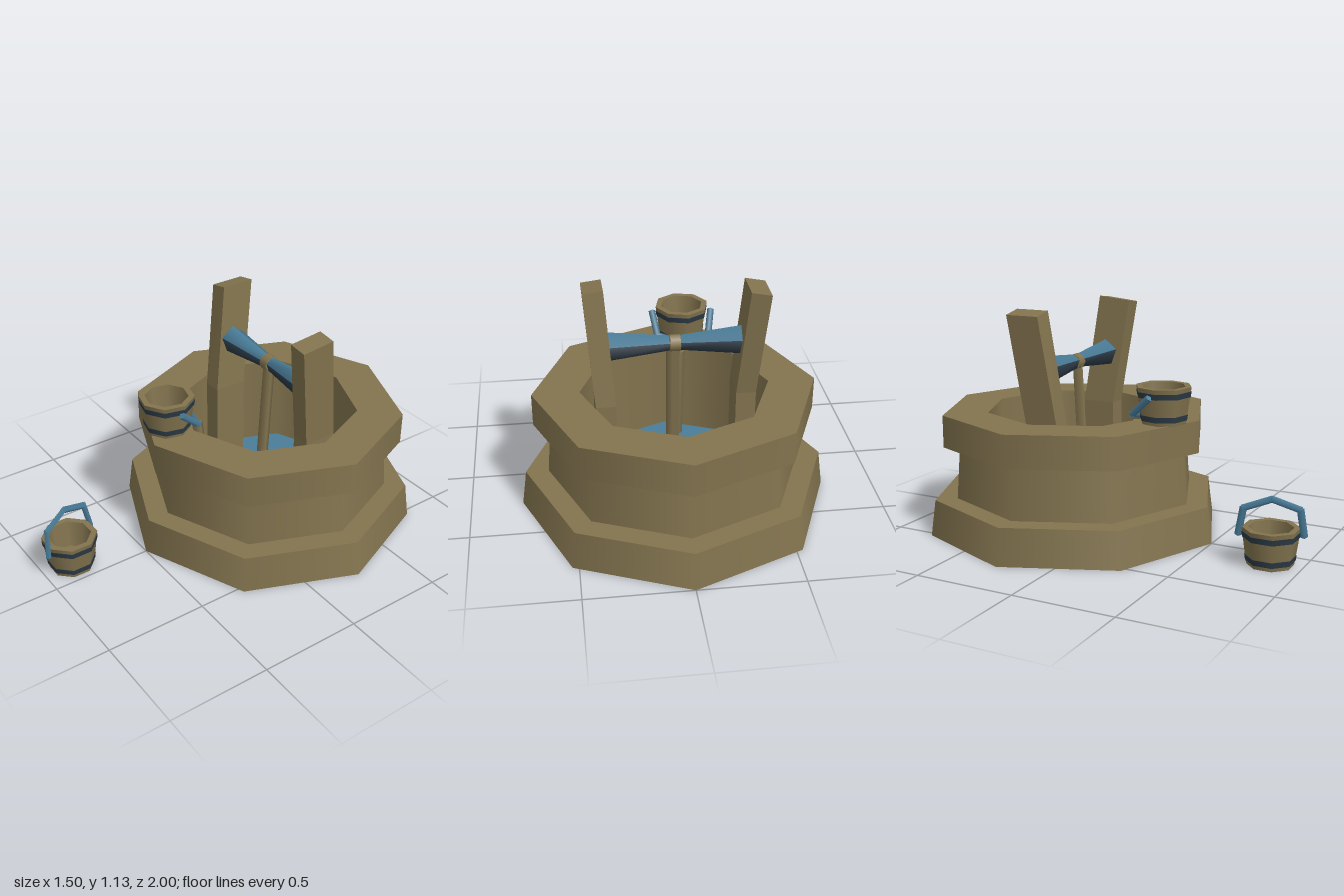
import * as THREE from 'three';
import { mergeGeometries } from 'three/addons/utils/BufferGeometryUtils.js';

const mat = (name, color) => new THREE.MeshStandardMaterial({ name, color, side: THREE.DoubleSide });

// Faceted turning: smooth around, sharp between profile segments
function turned(profile, sides = 8, start = 0, sweep = Math.PI * 2) {
  const parts = [];
  for (let i = 0; i < profile.length - 1; i++) {
    const pair = [profile[i], profile[i + 1]].map(([r, y]) => new THREE.Vector2(r, y));
    parts.push(new THREE.LatheGeometry(pair, sides, start, sweep));
  }
  return mergeGeometries(parts);
}

// Straight struts joined along a list of points
function struts(points, radius, sides) {
  const parts = [];
  for (let i = 0; i < points.length - 1; i++) {
    const a = new THREE.Vector3(...points[i]);
    const b = new THREE.Vector3(...points[i + 1]);
    const dir = b.clone().sub(a);
    const g = new THREE.CylinderGeometry(radius, radius, dir.length() + radius * 0.6, sides);
    g.applyQuaternion(new THREE.Quaternion().setFromUnitVectors(new THREE.Vector3(0, 1, 0), dir.normalize()));
    g.translate(...a.add(b).multiplyScalar(0.5).toArray());
    parts.push(g);
  }
  return mergeGeometries(parts);
}

export function createModel() {
  const root = new THREE.Group();
  root.name = 'wishingWell';
  const brown = mat('weatheredBrown', 0x83744f);
  const blue = mat('waterBlue', 0x4a7d99);
  const navy = mat('hoopNavy', 0x2c3a46);

  const add = (parent, name, geometry, material) => {
    const mesh = new THREE.Mesh(geometry, material);
    mesh.name = name;
    parent.add(mesh);
    return mesh;
  };

  const well = new THREE.Group();
  well.name = 'well';
  well.position.z = -0.25;
  root.add(well);

  // Stepped wall, rim and inner shaft
  add(well, 'wellWall', turned([
    [0.75, 0], [0.725, 0.18], [0.615, 0.18], [0.595, 0.445], [0.675, 0.445],
    [0.675, 0.605], [0.45, 0.605], [0.442, 0.14],
  ]), brown);

  // Water surface
  const water = new THREE.CircleGeometry(0.442, 8);
  water.rotateX(-Math.PI / 2);
  water.translate(0, 0.143, 0);
  add(well, 'water', water, blue);

  // Leaning posts, upright inside the shaft and splayed above the rim
  for (const s of [-1, 1]) {
    const post = new THREE.BoxGeometry(0.095, 1, 0.17, 1, 2, 1);
    const p = post.attributes.position;
    for (let i = 0; i < p.count; i++) {
      const x = p.getX(i), z = p.getZ(i), level = Math.round(p.getY(i) * 2) + 1;
      const lean = level === 2 ? 1 : 0;
      const slant = s > 0 ? 0.12 * x + 0.1 * z : -0.2 * x;
      const y = [0.15, 0.58, 1.12][level] - lean * slant;
      p.setXYZ(i, x + s * (0.333 + 0.041 * lean), y, z + s * (-0.028 + 0.073 * lean));
    }
    const flat = post.toNonIndexed();
    flat.computeVertexNormals();
    add(well, s > 0 ? 'leftPost' : 'rightPost', flat, brown);
  }

  // Waisted five-sided spool: blue upper faces, dark lower faces
  const degree = Math.PI / 180;
  const waist = [[0.072, -0.33], [0.034, 0], [0.072, 0.33]];
  for (const [name, sides, start, sweep, material] of [
    ['spoolTop', 2, 18, 144, blue], ['spoolUnderside', 3, 162, 216, navy],
  ]) {
    const spool = turned(waist, sides, start * degree, sweep * degree);
    spool.rotateZ(Math.PI / 2);
    spool.translate(0, 0.84, 0);
    add(well, name, spool, material);
  }

  // Rope: a wrap on the spool, a drop into the water and a run up to the rim bucket
  const wrap = turned([[0.03, -0.027], [0.041, -0.024], [0.041, 0.024], [0.03, 0.027]]);
  wrap.rotateZ(Math.PI / 2);
  wrap.translate(0, 0.838, 0);
  add(well, 'ropeWrap', wrap, brown);
  add(well, 'rope', struts([
    [0.008, 0.82, 0.005], [0.004, 0.13, 0.045], [-0.005, 0.085, 0.12], [-0.03, 0.08, 0.26],
    [-0.05, 0.14, 0.33], [-0.07, 0.58, 0.385],
  ], 0.032, 4), brown);

  // Wooden bucket with two hoops and a bail handle
  function bucket(name, position, bodyTurn, handleTurn, handleTilt) {
    const g = new THREE.Group();
    g.name = name;
    g.position.set(...position);
    const body = new THREE.Group();
    body.name = 'bucketBody';
    body.rotation.y = bodyTurn;
    g.add(body);
    add(body, 'staves', turned([
      [0, 0], [0.11, 0], [0.136, 0.178], [0.106, 0.178], [0.09, 0.04], [0, 0.04],
    ]), brown);
    for (const y of [0.018, 0.13]) {
      const r = 0.11 + y * 0.146;
      add(body, 'hoop', turned([[r, y], [r + 0.003, y], [r + 0.007, y + 0.027], [r, y + 0.027]]), navy);
    }
    const handle = add(g, 'handle', struts([
      [-0.15, 0, 0], [-0.129, 0.13, 0], [0, 0.178, 0], [0.129, 0.13, 0], [0.15, 0, 0],
    ], 0.017, 4), blue);
    handle.position.y = 0.14;
    handle.rotation.set(handleTilt, handleTurn, 0, 'YXZ');
    root.add(g);
  }
  bucket('groundBucket', [-0.131, 0, 0.847], Math.PI / 8, -1.23, 0.12);
  bucket('rimBucket', [-0.103, 0.603, 0.285], 0.15, -0.05, -2.3);

  return root;
}
